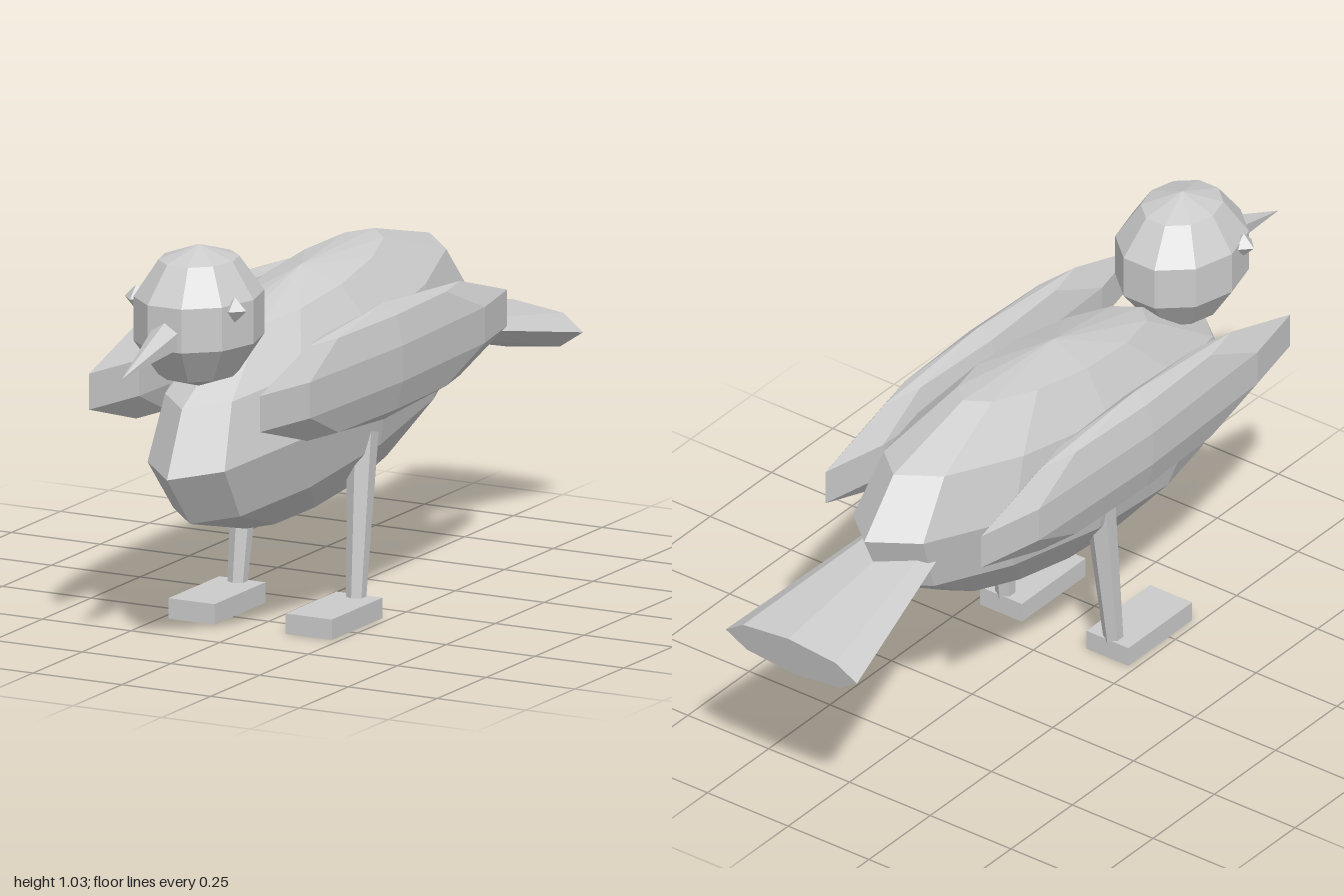
import * as THREE from 'three';

const material = new THREE.MeshStandardMaterial({ color: 0xcccccc, flatShading: true });

export function createModel() {
  const model = new THREE.Group();

  function add(name, geometry, x, y, z, tilt = 0) {
    const mesh = new THREE.Mesh(geometry, material);
    mesh.name = name;
    mesh.position.set(x, y, z);
    mesh.rotation.x = tilt;
    model.add(mesh);
    return mesh;
  }

  // Faceted ellipsoid with its poles on the y axis
  const ellipsoid = (rx, ry, rz, around, rows) =>
    new THREE.SphereGeometry(1, around, rows).scale(rx, ry, rz);

  // Tapered bar along z, optionally flattened in height
  const taper = (rFront, rBack, length, sides, flatten = 1) =>
    new THREE.CylinderGeometry(rFront, rBack, length, sides).rotateX(Math.PI / 2).scale(1, flatten, 1);

  // Body and head
  add('body', ellipsoid(0.217, 0.303, 0.737, 12, 6), 0, 0.572, 0.04, 0.14);
  add('head', ellipsoid(0.162, 0.18, 0.194, 10, 5), 0, 0.855, 0.607);

  // Beak, pointing slightly down
  add('beak', taper(0, 0.055, 0.3, 6), 0, 0.81, 0.854, 0.235);

  // Fan tail, widening backwards
  add('tail', taper(0.1, 0.203, 0.5, 8, 0.29), 0, 0.542, -0.742, -0.2);

  // Paired parts
  for (const [side, s] of [['left', 1], ['right', -1]]) {
    add(side + 'Eye', new THREE.OctahedronGeometry(0.032), s * 0.139, 0.898, 0.675);
    add(side + 'Wing', ellipsoid(0.058, 0.148, 0.663, 8, 5), s * 0.241, 0.6575, 0.1);

    // Leg runs from the hip down to the foot
    const hip = new THREE.Vector3(s * 0.16, 0.49, 0.057);
    const ankle = new THREE.Vector3(s * 0.167, 0.045, 0.107);
    const dir = hip.clone().sub(ankle);
    const mid = hip.clone().add(ankle).multiplyScalar(0.5);
    const leg = add(side + 'Leg', new THREE.CylinderGeometry(0.04, 0.025, dir.length(), 6), mid.x, mid.y, mid.z);
    leg.quaternion.setFromUnitVectors(new THREE.Vector3(0, 1, 0), dir.normalize());

    add(side + 'Foot', new THREE.BoxGeometry(0.13, 0.052, 0.26), s * 0.165, 0.026, 0.215);
  }

  return model;
}
